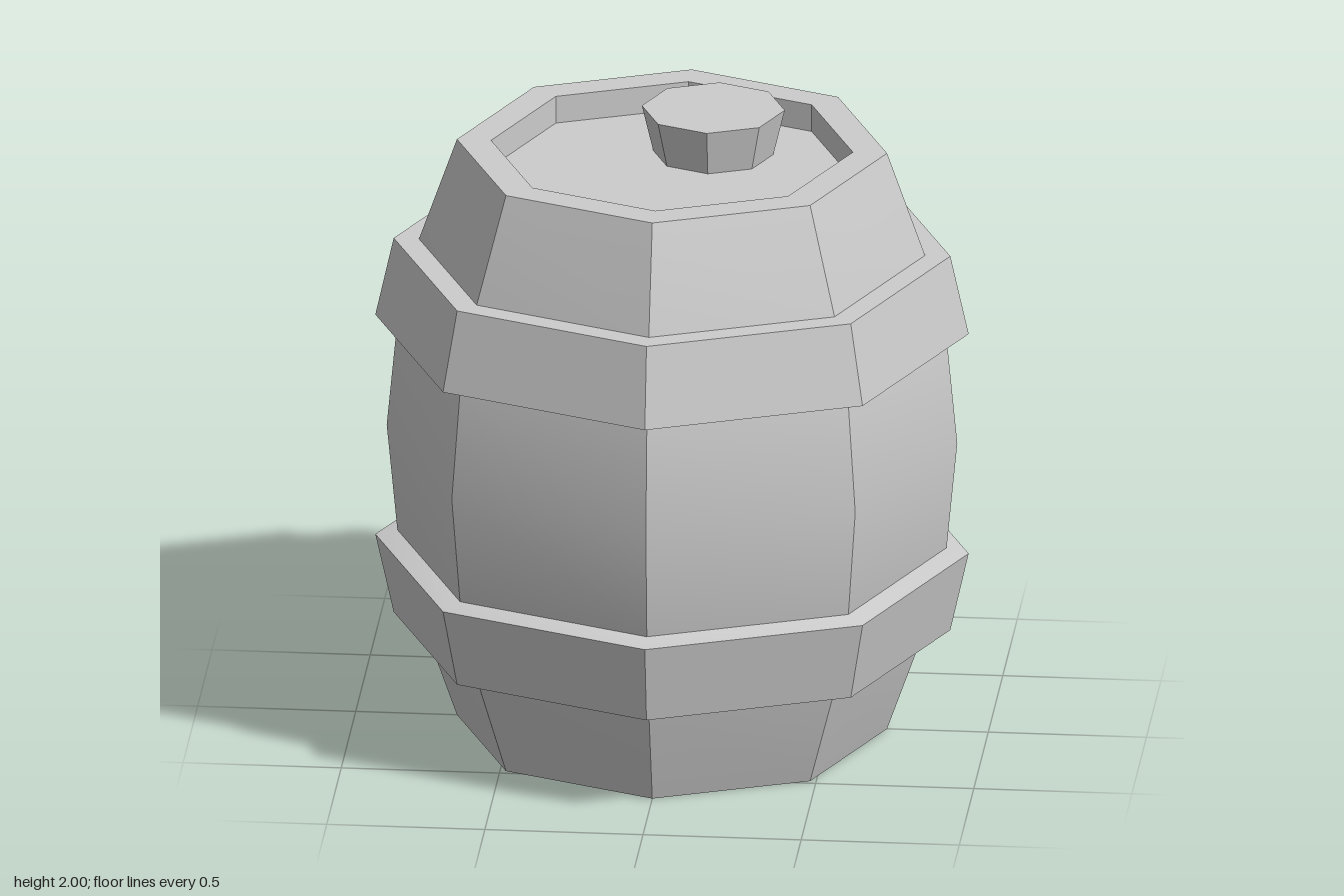
import * as THREE from 'three';
import { toCreasedNormals } from 'three/addons/utils/BufferGeometryUtils.js';

const SIDES = 8;
const MID = 0.97; // half the height of the barrel body

export function createModel() {
  const barrel = new THREE.Group();
  barrel.name = 'barrel';
  const material = new THREE.MeshStandardMaterial({ color: 0xcccccc });

  const addPart = (name, geometry) => {
    const mesh = new THREE.Mesh(toCreasedNormals(geometry, 0.3), material);
    mesh.name = name;
    barrel.add(mesh);
    return mesh;
  };

  // Eight-sided solid from [radius, y] points running up the outside
  const turned = (profile) =>
    new THREE.LatheGeometry(profile.map(([r, y]) => new THREE.Vector2(r, y)), SIDES);

  // The same profile turned upside down about the middle of the barrel
  const mirrored = (profile) => profile.map(([r, y]) => [r, 2 * MID - y]).reverse();

  // Body: recessed end, rim, and staves bulging to the middle
  const lowerHalf = [
    [0, 0.09], [0.572, 0.09], [0.572, 0], [0.68, 0],
    [0.80, 0.34], [0.868, 0.615],
  ];
  addPart('body', turned([...lowerHalf, [0.902, MID], ...mirrored(lowerHalf)]));

  // Hoops: wide bands that flare toward the middle, with a sloped lip
  const hoop = [[0.80, 0.34], [0.88, 0.34], [0.938, 0.6], [0.868, 0.617]];
  addPart('lowerHoop', turned(hoop));
  addPart('upperHoop', turned(mirrored(hoop)));

  // Plug: tapered stopper set off-centre in the lid
  const plug = addPart('plug', new THREE.CylinderGeometry(0.226, 0.19, 0.15, SIDES));
  plug.position.set(0.113, 1.925, -0.192);

  return barrel;
}
